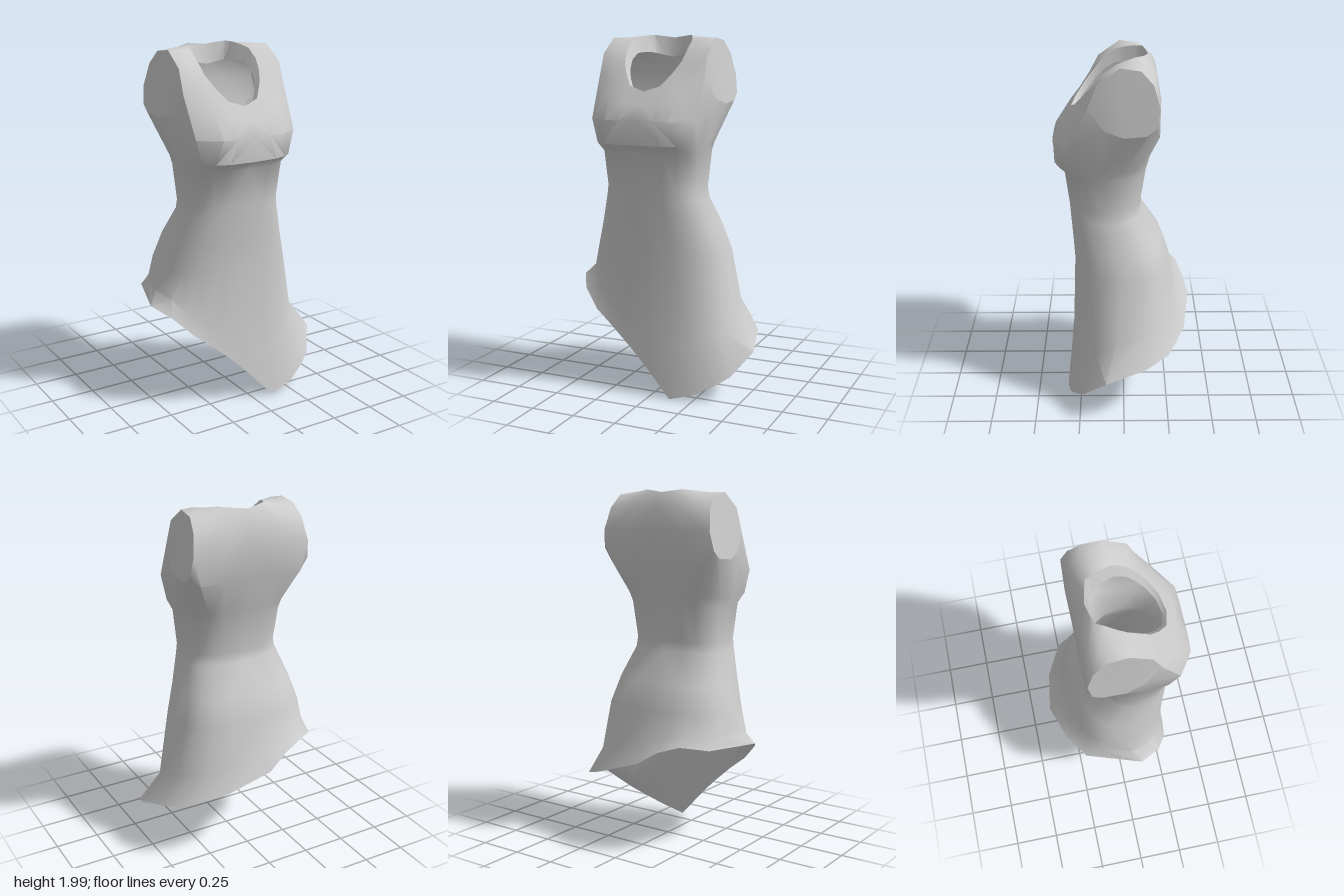
import * as THREE from 'three';
import { toCreasedNormals } from 'three/addons/utils/BufferGeometryUtils.js';

const CX = -0.05;   // bodice centre line
const HALF = 10;    // columns from front centre to back centre
const N = HALF * 2;

const cloth = new THREE.MeshStandardMaterial({ color: 0xcccccc, side: THREE.DoubleSide });
cloth.name = 'grey cloth';

// Half ring [offset from centre, y, z], front to back, mirrored into a full ring
function mirrorRing(half) {
  const ring = half.map(([x, y, z]) => [CX + x, y, z]);
  for (let j = HALF - 1; j > 0; j--) ring.push([CX - half[j][0], half[j][1], half[j][2]]);
  return ring;
}

// Horizontal rounded-box section
function section(y, halfWidth, front, back, power) {
  const half = [];
  const mid = (front + back) / 2, depth = (front - back) / 2;
  for (let j = 0; j <= HALF; j++) {
    const a = (j / HALF) * Math.PI, c = Math.cos(a);
    half.push([
      halfWidth * Math.pow(Math.abs(Math.sin(a)), 2 / power), y,
      mid + depth * Math.sign(c) * Math.pow(Math.abs(c), 2 / power),
    ]);
  }
  return mirrorRing(half);
}

// Skin between rings, listed top to bottom; keep() selects triangles
function loft(rings, keep = () => true) {
  const index = [];
  for (let i = 0; i < rings.length - 1; i++) {
    for (let j = 0; j < N; j++) {
      const k = j < HALF ? j : N - 1 - j;
      const n = (j + 1) % N;
      const a = i * N + j, b = i * N + n, c = a + N, d = b + N;
      const alongAD = (k < 5) !== (j >= HALF);
      const lower = alongAD ? [a, c, d] : [b, c, d];
      const upper = alongAD ? [a, d, b] : [a, c, b];
      if (keep(i, k, false)) index.push(...lower);
      if (keep(i, k, true)) index.push(...upper);
    }
  }
  const geo = new THREE.BufferGeometry();
  geo.setAttribute('position', new THREE.Float32BufferAttribute(rings.flat(2), 3));
  geo.setIndex(index);
  return toCreasedNormals(geo, 0.8);
}

// Neckline edge
const neck = mirrorRing([
  [0, 1.70, 0.285], [0.09, 1.73, 0.262], [0.14, 1.80, 0.21], [0.17, 1.86, 0.16],
  [0.18, 1.92, 0.11], [0.178, 1.97, 0.04], [0.16, 1.985, -0.01], [0.135, 1.997, -0.06],
  [0.115, 2.0, -0.105], [0.06, 1.993, -0.12], [0, 1.985, -0.132],
]);
// Middle of the straps and upper back
const strap = mirrorRing([
  [0, 1.665, 0.308], [0.095, 1.69, 0.292], [0.17, 1.745, 0.25], [0.24, 1.82, 0.19],
  [0.25, 1.91, 0.13], [0.25, 1.985, 0.03], [0.25, 1.985, -0.05], [0.25, 1.965, -0.11],
  [0.23, 1.92, -0.165], [0.12, 1.915, -0.175], [0, 1.91, -0.178],
]);
// Upper rim of the arm openings and upper chest
const armTop = mirrorRing([
  [0, 1.63, 0.332], [0.1, 1.64, 0.325], [0.2, 1.68, 0.295], [0.315, 1.77, 0.19],
  [0.312, 1.90, 0.14], [0.31, 1.985, 0.02], [0.315, 1.97, -0.09], [0.33, 1.90, -0.155],
  [0.35, 1.78, -0.19], [0.17, 1.78, -0.2], [0, 1.78, -0.198],
]);
// Bust and lower rim of the arm openings
const bust = mirrorRing([
  [0, 1.55, 0.385], [0.1, 1.55, 0.385], [0.185, 1.55, 0.38], [0.305, 1.55, 0.30],
  [0.345, 1.66, 0.1], [0.365, 1.63, 0], [0.367, 1.64, -0.12], [0.365, 1.68, -0.17],
  [0.31, 1.62, -0.19], [0.16, 1.62, -0.185], [0, 1.62, -0.185],
]);

// Slanted hem, counted from the front centre towards +x
const hem = [
  [-0.04, 0.18, 0.31], [0.12, 0.01, 0.33], [0.26, 0.05, 0.31], [0.36, 0.10, 0.27],
  [0.44, 0.15, 0.225], [0.53, 0.27, 0.10], [0.48, 0.33, -0.12], [0.39, 0.37, -0.25],
  [0.29, 0.40, -0.30], [0.18, 0.44, -0.35], [-0.07, 0.53, -0.385], [-0.18, 0.60, -0.355],
  [-0.30, 0.64, -0.32], [-0.37, 0.63, -0.27], [-0.43, 0.62, -0.225], [-0.53, 0.61, 0.09],
  [-0.46, 0.56, 0.21], [-0.36, 0.46, 0.27], [-0.25, 0.375, 0.29], [-0.13, 0.27, 0.305],
];

export function createModel() {
  const group = new THREE.Group();
  group.name = 'dress';
  const add = (name, geometry) => {
    const mesh = new THREE.Mesh(geometry, cloth);
    mesh.name = name;
    group.add(mesh);
  };

  const hips = section(0.8, 0.385, 0.28, -0.265, 2.6);
  // Flare between hips and hem: drops quickly, widens late
  const flare = hips.map((p, j) => p.map((v, axis) =>
    v + (hem[j][axis] - v) * (axis === 1 ? 0.65 : 0.38)));

  // Body, leaving the flat arm openings free
  const isArm = (k, upper) => (k > 3 && k < 7) || (upper && (k === 3 || k === 7));
  add('bodiceAndSkirt', loft([
    neck, strap, armTop, bust,
    section(1.42, 0.31, 0.385, -0.143, 3),
    section(1.37, 0.295, 0.332, -0.13, 2.8),
    section(1.17, 0.28, 0.307, -0.10, 2.6),
    section(1.11, 0.29, 0.302, -0.102, 2.6),
    section(0.95, 0.34, 0.29, -0.21, 2.6),
    hips, flare, hem,
  ], (i, k, upper) => i !== 2 || !isArm(k, upper)));

  // Flat closings of both arm openings
  add('armOpenings', loft([armTop, bust], (i, k, upper) => isArm(k, upper)));

  // Turned-in neck edge, deepest at the back
  const lining = neck.map(([x, y, z]) => [
    CX + (x - CX) * 0.84, y - 0.02 - 0.22 * (0.285 - z) * 0.95, 0.08 + (z - 0.08) * 0.9]);
  add('neckLining', loft([lining, neck]));

  return group;
}
